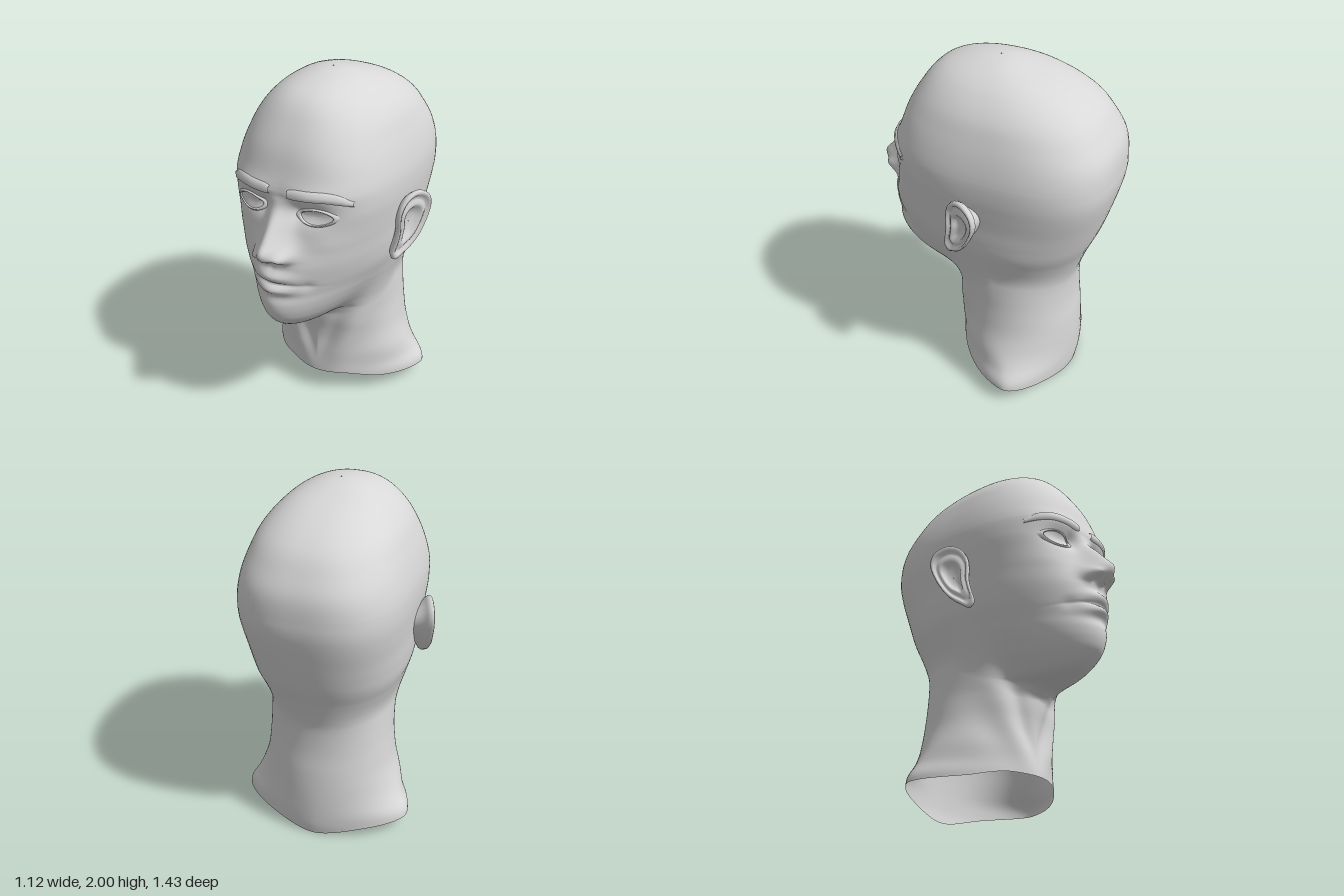
import * as THREE from 'three';

const skin = new THREE.MeshStandardMaterial({ color: 0xd8d8d8, side: THREE.DoubleSide });
skin.name = 'skin grey';

// Smooth curve through [key, value] pairs sorted by key
function curve(points, key = (k) => k) {
  const p = points.map(([k, v]) => [key(k), v]), n = p.length;
  const slope = (i) => {
    const a = p[Math.max(i - 1, 0)], b = p[Math.min(i + 1, n - 1)];
    return (b[1] - a[1]) / (b[0] - a[0]);
  };
  return (k) => {
    const x = Math.min(Math.max(key(k), p[0][0]), p[n - 1][0]);
    let i = 0;
    while (i < n - 2 && x > p[i + 1][0]) i++;
    const h = p[i + 1][0] - p[i][0], t = (x - p[i][0]) / h, t2 = t * t, t3 = t2 * t;
    return (2 * t3 - 3 * t2 + 1) * p[i][1] + (t3 - 2 * t2 + t) * h * slope(i)
      + (3 * t2 - 2 * t3) * p[i + 1][1] + (t3 - t2) * h * slope(i + 1);
  };
}
// Stretches the height scale near the crown so that the dome closes roundly
const dome = (y) => (y < 1.5 ? y : 1.5 + 0.5 * Math.asin(Math.min((y - 1.5) / 0.5, 1)));
const byHeight = (points) => curve(points, dome);

// Section axis, and half width, front and back of the head at each height
const axisZ = byHeight([[0, -0.29], [0.15, -0.27], [0.3, -0.2], [0.6, -0.18], [1, -0.12], [1.7, -0.1], [1.9, -0.06], [2, -0.03]]);
const headWidth = byHeight([[0.4, 0.06], [0.55, 0.12], [0.62, 0.17], [0.645, 0.19], [0.67, 0.215], [0.74, 0.28], [0.8, 0.325], [0.84, 0.35], [0.9, 0.382],
  [1, 0.42], [1.1, 0.435], [1.2, 0.442], [1.3, 0.452], [1.4, 0.46], [1.5, 0.457], [1.6, 0.437], [1.7, 0.405], [1.8, 0.36], [1.9, 0.272], [1.95, 0.197], [2, 0.003]]);
const headFront = byHeight([[0.4, -0.15], [0.5, -0.02], [0.55, 0.08], [0.6, 0.19], [0.635, 0.28], [0.65, 0.42], [0.68, 0.51], [0.745, 0.585], [0.8, 0.613], [0.86, 0.622],
  [0.92, 0.615], [1, 0.612], [1.1, 0.602], [1.2, 0.56], [1.3, 0.535], [1.4, 0.526], [1.5, 0.52], [1.6, 0.49], [1.7, 0.455], [1.8, 0.4], [1.9, 0.322], [1.95, 0.242], [2, -0.027]]);
const headBack = byHeight([[0.4, -0.24], [0.6, -0.35], [0.7, -0.44], [0.8, -0.515], [0.915, -0.572], [1.05, -0.628], [1.23, -0.68], [1.365, -0.71], [1.45, -0.715],
  [1.59, -0.7], [1.7, -0.645], [1.79, -0.58], [1.87, -0.47], [1.93, -0.34], [1.975, -0.185], [2, -0.033]]);
const frontPower = byHeight([[0.6, 2], [0.8, 1.82], [0.95, 1.82], [1.1, 2.05], [1.25, 2.45], [1.4, 2.75], [1.6, 2.75], [1.8, 2.45], [2, 2.1]]);
const backPower = byHeight([[0.8, 2.1], [0.95, 2.25], [1.1, 2.4], [1.35, 2.8], [1.6, 2.8], [1.8, 2.5], [2, 2.1]]);

// The same for the neck, which ends inside the head
const neckTop = 1.2;
const neckWidth = curve([[0, 0.495], [0.09, 0.495], [0.13, 0.488], [0.2, 0.447], [0.3, 0.41], [0.4, 0.38], [0.5, 0.365], [0.6, 0.355], [0.8, 0.347], [1, 0.345], [1.2, 0.3]]);
const neckFront = curve([[0, 0.18], [0.14, 0.18], [0.25, 0.17], [0.36, 0.16], [0.44, 0.162], [0.535, 0.175], [0.7, 0.18], [1, 0.1], [1.2, 0]]);
const neckBack = curve([[0, -0.525], [0.07, -0.535], [0.25, -0.535], [0.41, -0.525], [0.545, -0.51], [0.68, -0.508], [0.8, -0.52], [1, -0.53], [1.2, -0.5]]);
const neckPower = curve([[0, 1.6], [0.12, 1.65], [0.4, 2], [0.8, 2.15], [1, 2.2]]);
const rimHeight = curve([[-1, 0], [-0.85, 0.022], [-0.6, 0.052], [-0.3, 0.075], [0, 0.09], [0.6, 0.105], [0.9, 0.138], [1, 0.138]]);

// Nose ridge height and half width
const noseHeight = curve([[1.09, 0], [1.125, 0.025], [1.15, 0.085], [1.18, 0.138], [1.217, 0.16], [1.26, 0.137], [1.34, 0.082], [1.41, 0.024], [1.47, 0]]);
const noseWidth = curve([[1.1, 0.09], [1.17, 0.088], [1.22, 0.08], [1.3, 0.065], [1.4, 0.055]]);

const bump = (dx, dy, rx, ry) => Math.exp(-((dx / rx) ** 2) - (dy / ry) ** 2);

// Forward relief of nose, lips, sockets, brows and cheeks
function relief(x, y) {
  const a = Math.abs(x), seam = 1.002 - 0.6 * x * x;
  let d = noseHeight(y) * Math.exp(-((a / noseWidth(y)) ** 1.9));
  d += 0.042 * bump(a - 0.08, y - 1.172, 0.032, 0.036);
  d -= 0.028 * bump(a - 0.045, y - 1.145, 0.022, 0.014);
  d += 0.031 * bump(a, y - seam - 0.042, 0.11, 0.034) + 0.031 * bump(a, y - seam + 0.037, 0.1, 0.028);
  d -= 0.015 * bump(a, y - seam, 0.15, 0.008) + 0.01 * bump(a - 0.17, y - 0.985, 0.03, 0.03);
  d -= 0.006 * bump(a, y - 0.91, 0.12, 0.03) + 0.005 * bump(a, y - 1.1, 0.015, 0.03);
  d -= 0.03 * bump(a - 0.18, y - 1.39, 0.1, 0.055) + 0.025 * bump(a - 0.1, y - 1.4, 0.035, 0.05);
  d += 0.012 * bump(a - 0.18, y - 1.5, 0.14, 0.04) + 0.01 * bump(a - 0.27, y - 1.22, 0.1, 0.08);
  return d;
}

// Radius of a superellipse section
function radius(s, c, width, front, back, power) {
  const depth = Math.max(c > 0 ? front : back, 0.002);
  return ((Math.abs(s) / Math.max(width, 0.002)) ** power + (Math.abs(c) / depth) ** power) ** (-1 / power);
}

// Point on the skin at an angle round the upright axis (0 is forward)
function surface(angle, y) {
  const s = Math.sin(angle), c = Math.cos(angle), z0 = axisZ(y);
  const power = THREE.MathUtils.lerp(backPower(y), frontPower(y), THREE.MathUtils.smoothstep(c, -0.4, 0.4));
  let r = radius(s, c, headWidth(y), headFront(y) - z0, z0 - headBack(y), power);
  if (y < neckTop) {
    let neck = radius(s, c, neckWidth(y), neckFront(y) - z0, z0 - neckBack(y), neckPower(y));
    // Neck muscles running from behind the jaw to the pit of the throat
    if (c > 0) {
      const x = Math.abs(s) * neck, line = 0.08 + 0.4 * (y - 0.15);
      neck += c * THREE.MathUtils.smoothstep(y, 0.1, 0.4) * (0.018 * bump(x - line, 0, 0.06, 1)
        - 0.008 * bump(x - line - 0.12, 0, 0.06, 1) - 0.014 * bump(x - line + 0.1, 0, 0.05, 1));
    }
    // Join of jaw and neck, softest below the corners of the jaw
    const k = 0.06 + 0.2 * Math.max(c, 0) * Math.abs(s), h = Math.max(k - Math.abs(r - neck), 0) / k;
    r = Math.max(r, neck) + h * h * k / 4;
  }
  const fade = Math.min(Math.max(c * 2, 0), 1);
  return [s * r, y, z0 + c * r + (fade > 0 && y > 0.75 ? fade * relief(s * r, y) : 0)];
}

// Point on the face in front of a given x and y, lifted forward
function onFace(x, y, lift) {
  let lo = -1.4, hi = 1.4;
  for (let i = 0; i < 24; i++) {
    const mid = (lo + hi) / 2;
    if (surface(mid, y)[0] < x) lo = mid; else hi = mid;
  }
  return [x, y, surface(lo, y)[2] + lift];
}

// Mesh from rows of points; closed joins the last column to the first
function gridMesh(name, rows, cols, closed, point) {
  const pos = [], index = [];
  for (let i = 0; i < rows; i++) for (let j = 0; j < cols; j++) pos.push(...point(i, j));
  for (let i = 0; i < rows - 1; i++) {
    for (let j = 0; j < (closed ? cols : cols - 1); j++) {
      const a = i * cols + j, b = i * cols + (j + 1) % cols;
      index.push(a, b, b + cols, a, b + cols, a + cols);
    }
  }
  const g = new THREE.BufferGeometry();
  g.setAttribute('position', new THREE.Float32BufferAttribute(pos, 3));
  g.setIndex(index);
  g.computeVertexNormals();
  const mesh = new THREE.Mesh(g, skin);
  mesh.name = name;
  return mesh;
}

// Head and neck in one skin, with rows closer at the jaw and face
function headAndNeck() {
  const heights = [];
  const span = (from, to, n) => { for (let i = 0; i < n; i++) heights.push(from + (to - from) * i / n); };
  span(0, 0.56, 24); span(0.56, 0.74, 36); span(0.74, 1.5, 90);
  for (let i = 0; i <= 36; i++) heights.push(1.5 + 0.5 * Math.sin(i / 36 * Math.PI / 2));
  const cols = 168;
  return gridMesh('headAndNeck', heights.length, cols, true, (i, j) => {
    const t = j / cols * 2 - 1, angle = Math.PI * (0.45 * t + 0.55 * t ** 3);
    const rim = rimHeight(Math.cos(angle)), y = heights[i];
    return surface(angle, y < 0.4 ? rim + (0.4 - rim) * y / 0.4 : y);
  });
}

// Almond outline of the eye, scaled about its centre
const almond = (side, t, scale, lift) => {
  const c = Math.cos(t), s = Math.sin(t);
  return onFace(side * (0.2 + 0.092 * scale * c), 1.385 + 0.043 * scale * s * (1 - 0.25 * c * c), lift);
};

function eye(side) {
  const group = new THREE.Group();
  group.name = side > 0 ? 'leftEye' : 'rightEye';
  group.add(gridMesh('eyeball', 5, 32, true, (i, j) => almond(side, j / 32 * Math.PI * 2, 1 - i / 4, 0.003)));
  const lid = [[1.25, -0.004], [1.1, 0.008], [1, 0.012], [0.93, 0.01], [0.92, 0]];
  group.add(gridMesh('eyelids', lid.length, 32, true, (i, j) => almond(side, j / 32 * Math.PI * 2, ...lid[i])));
  return group;
}

function eyebrow(side) {
  const middle = curve([[0.055, 1.5], [0.15, 1.506], [0.25, 1.506], [0.31, 1.49], [0.365, 1.458]]);
  const half = curve([[0.055, 0.02], [0.08, 0.026], [0.15, 0.026], [0.25, 0.026], [0.31, 0.024], [0.365, 0.012]]);
  const lifts = [-0.003, 0.01, 0.012, 0.01, -0.003];
  return gridMesh(side > 0 ? 'leftEyebrow' : 'rightEyebrow', 5, 28, false, (i, j) => {
    const x = 0.055 + 0.31 * j / 27;
    return onFace(side * x, middle(x) + half(x) * [-1, -0.9, 0, 0.9, 1][i], lifts[i]);
  });
}

// Ear: one outline shrunk in rings to make the back, rolled rim and hollow
function ear(side) {
  const outline = new THREE.CatmullRomCurve3([[0.095, 1.03], [0.07, 1.0], [0.025, 1.025], [-0.03, 1.07], [-0.1, 1.18], [-0.135, 1.29], [-0.115, 1.355],
    [-0.05, 1.39], [0.015, 1.37], [0.058, 1.31], [0.07, 1.25], [0.07, 1.17], [0.085, 1.09]].map(([z, y]) => new THREE.Vector3(0, y, z)), true);
  const rings = [[0.6, -0.11], [0.72, -0.05], [0.93, -0.025], [1, -0.005], [0.99, 0.01], [0.93, 0.015], [0.85, 0.01], [0.79, -0.005],
    [0.7, -0.003], [0.6, 0.006], [0.5, 0], [0.42, -0.018], [0.25, -0.028], [0.01, -0.028]];
  const n = 56, edge = outline.getPoints(n);
  return gridMesh(side > 0 ? 'leftEar' : 'rightEar', rings.length, n, true, (i, j) => {
    const [scale, lift] = rings[i];
    const y = 1.2 + (edge[j].y - 1.2) * scale, z = -0.02 + (edge[j].z + 0.02) * scale;
    const lean = 0.455 + 0.45 * (0.08 - z) - 0.12 * Math.max(1.12 - y, 0);
    return [side * (lean + lift * 0.92), y, z + lift * 0.3];
  });
}

export function createModel() {
  const model = new THREE.Group();
  model.name = 'headBust';
  model.add(headAndNeck());
  for (const side of [1, -1]) model.add(eye(side), eyebrow(side), ear(side));
  return model;
}
